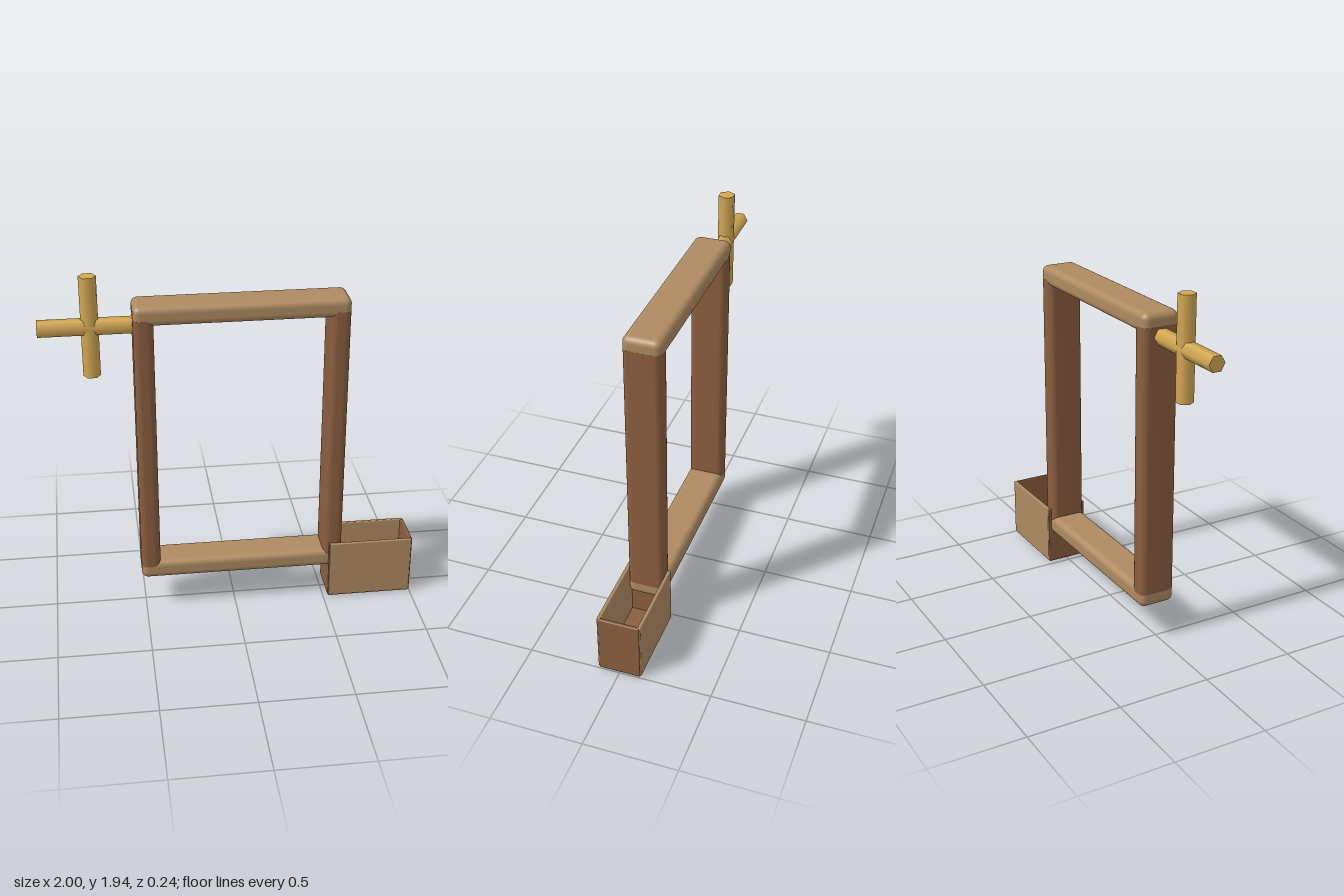
import * as THREE from 'three';
import { toCreasedNormals } from 'three/addons/utils/BufferGeometryUtils.js';
import { RoundedBoxGeometry } from 'three/addons/geometries/RoundedBoxGeometry.js';

const lightWood = new THREE.MeshStandardMaterial({ color: 0xae8a61 });
lightWood.name = 'light wood';
const darkWood = new THREE.MeshStandardMaterial({ color: 0x8b5e3f });
darkWood.name = 'dark wood';
const brass = new THREE.MeshStandardMaterial({ color: 0xd4a853 });
brass.name = 'brass';

function add(parent, name, geometry, material, x, y, z) {
  const mesh = new THREE.Mesh(geometry, material);
  mesh.name = name;
  mesh.position.set(x, y, z);
  parent.add(mesh);
  return mesh;
}

function addGroup(parent, name) {
  const group = new THREE.Group();
  group.name = name;
  parent.add(group);
  return group;
}

// Upright post with a rounded rectangular section, standing on y = 0
function postGeometry(width, depth, height, r) {
  const x = width / 2, y = depth / 2;
  const s = new THREE.Shape();
  s.moveTo(-x + r, -y);
  s.absarc(x - r, -y + r, r, -Math.PI / 2, 0);
  s.absarc(x - r, y - r, r, 0, Math.PI / 2);
  s.absarc(-x + r, y - r, r, Math.PI / 2, Math.PI);
  s.absarc(-x + r, -y + r, r, Math.PI, Math.PI * 1.5);
  const g = new THREE.ExtrudeGeometry(s, { depth: height, bevelEnabled: false, curveSegments: 4 });
  g.rotateX(-Math.PI / 2);
  return toCreasedNormals(g, 0.6);
}

export function createModel() {
  const model = new THREE.Group();
  model.name = 'wooden frame with box';

  // Rectangular frame: rails carry the outer corners, posts run between them
  const frame = addGroup(model, 'frame');
  const rail = new RoundedBoxGeometry(1.12, 0.105, 0.2, 4, 0.035);
  add(frame, 'topRail', rail, lightWood, 0.04, 1.74, 0);
  add(frame, 'bottomRail', rail, lightWood, 0.04, 0.243, 0);
  const post = postGeometry(0.105, 0.2, 1.455, 0.035);
  add(frame, 'rightPost', post, darkWood, -0.4675, 0.265, 0);
  add(frame, 'leftPost', post, darkWood, 0.5475, 0.265, 0);

  // Crossed six-sided rods beside the top corner
  const handle = addGroup(model, 'crossHandle');
  const arm = new THREE.CylinderGeometry(0.045, 0.045, 0.5, 6);
  arm.rotateZ(Math.PI / 2);
  add(handle, 'horizontalRod', arm, brass, -0.75, 1.67, 0);
  const bar = new THREE.CylinderGeometry(0.045, 0.045, 0.54, 6, 1, false, Math.PI / 6);
  add(handle, 'verticalRod', bar, brass, -0.734, 1.67, 0);

  // Open box at the lower corner
  const box = addGroup(model, 'openBox');
  add(box, 'boxFloor', new RoundedBoxGeometry(0.465, 0.025, 0.225, 1, 0.006), darkWood, 0.7625, 0.0125, 0);
  for (const side of [-1, 1]) {
    add(box, side > 0 ? 'frontPanel' : 'backPanel',
      new RoundedBoxGeometry(0.464, 0.337, 0.02, 1, 0.006), lightWood, 0.7625, 0.1765, side * 0.11);
    add(box, side > 0 ? 'leftPanel' : 'rightPanel',
      new RoundedBoxGeometry(0.02, 0.337, 0.225, 1, 0.006), darkWood, 0.7625 + side * 0.2275, 0.1745, 0);
  }

  return model;
}
